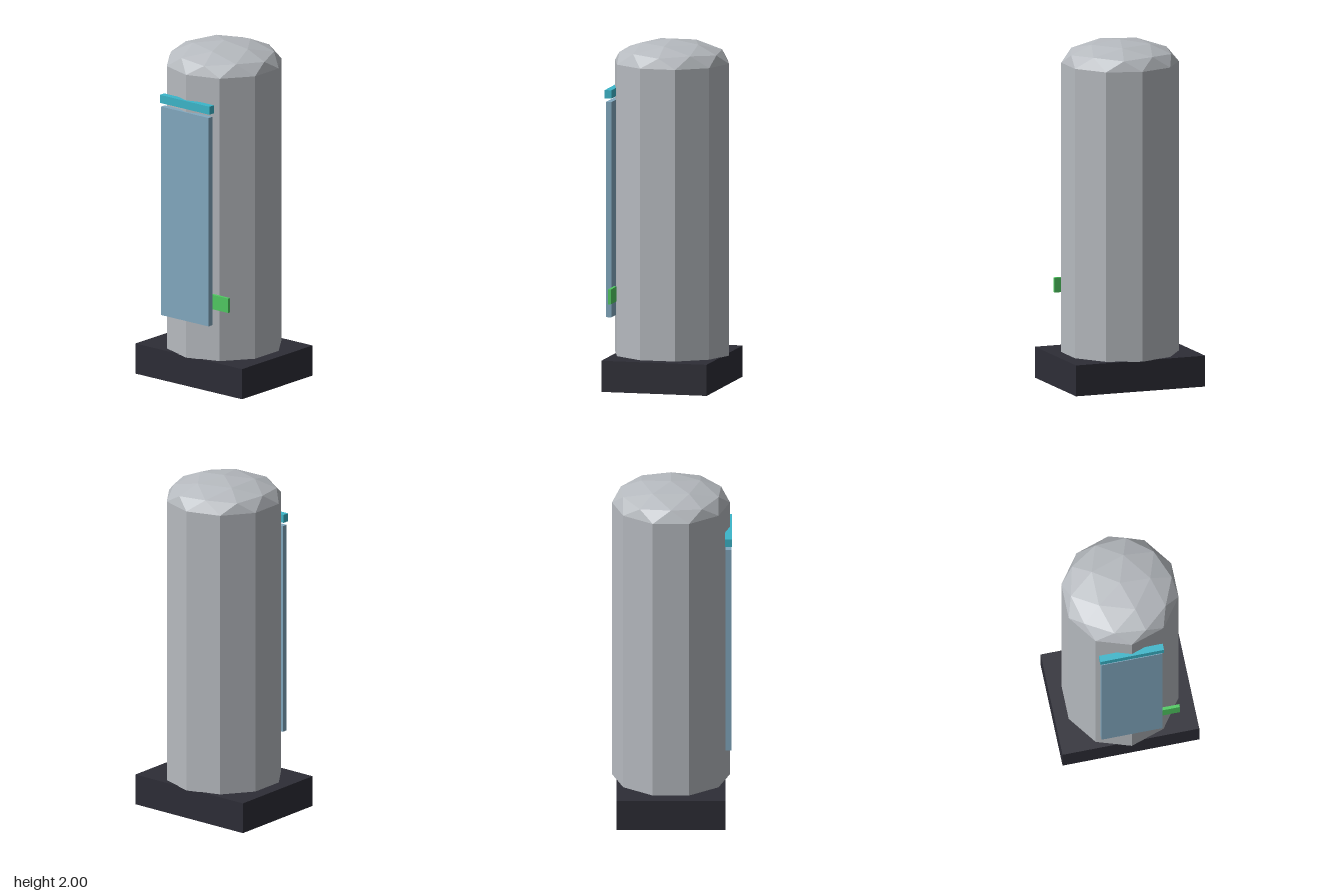
import * as THREE from 'three';

const mat = (name, color) => {
  const m = new THREE.MeshStandardMaterial({ color, flatShading: true });
  m.name = name;
  return m;
};

export function createModel() {
  const group = new THREE.Group();
  const shell = mat('shell grey', 0xb6babf);
  const dark = mat('base charcoal', 0x2d2d36);
  const glass = mat('door blue', 0x82a9c0);
  const teal = mat('light teal', 0x3cb6ca);
  const green = mat('handle green', 0x50ca62);

  const add = (name, geometry, material) => {
    const mesh = new THREE.Mesh(geometry, material);
    mesh.name = name;
    group.add(mesh);
  };
  // Box given by its extents on each axis
  const box = (name, material, [x0, x1], [y0, y1], [z0, z1]) => {
    const g = new THREE.BoxGeometry(x1 - x0, y1 - y0, z1 - z0);
    g.translate((x0 + x1) / 2, (y0 + y1) / 2, (z0 + z1) / 2);
    add(name, g, material);
  };

  const radius = 0.338, bottom = 0.178, shoulder = 1.868, centreZ = -0.008;

  box('base', dark, [-0.4, 0.4], [0, 0.18], [-0.32, 0.305]);

  // Ten-sided body with a corner facing the front
  const body = new THREE.CylinderGeometry(radius, radius, shoulder - bottom, 10);
  body.translate(0, (shoulder + bottom) / 2, centreZ);
  add('body', body, shell);

  // Faceted dome: icosphere turned to stand on a corner, then flattened
  const dome = new THREE.IcosahedronGeometry(radius, 1);
  dome.rotateZ(-Math.atan(2 / (1 + Math.sqrt(5))));
  dome.scale(1, (2 - shoulder) / radius, 1);
  dome.translate(0, shoulder, centreZ);
  add('dome', dome, shell);

  box('door', glass, [-0.179, 0.177], [0.4, 1.646], [0.305, 0.338]);
  box('lightBar', teal, [-0.186, 0.186], [1.668, 1.716], [0.303, 0.342]);
  box('handle', green, [0.156, 0.288], [0.492, 0.578], [0.278, 0.296]);

  return group;
}
